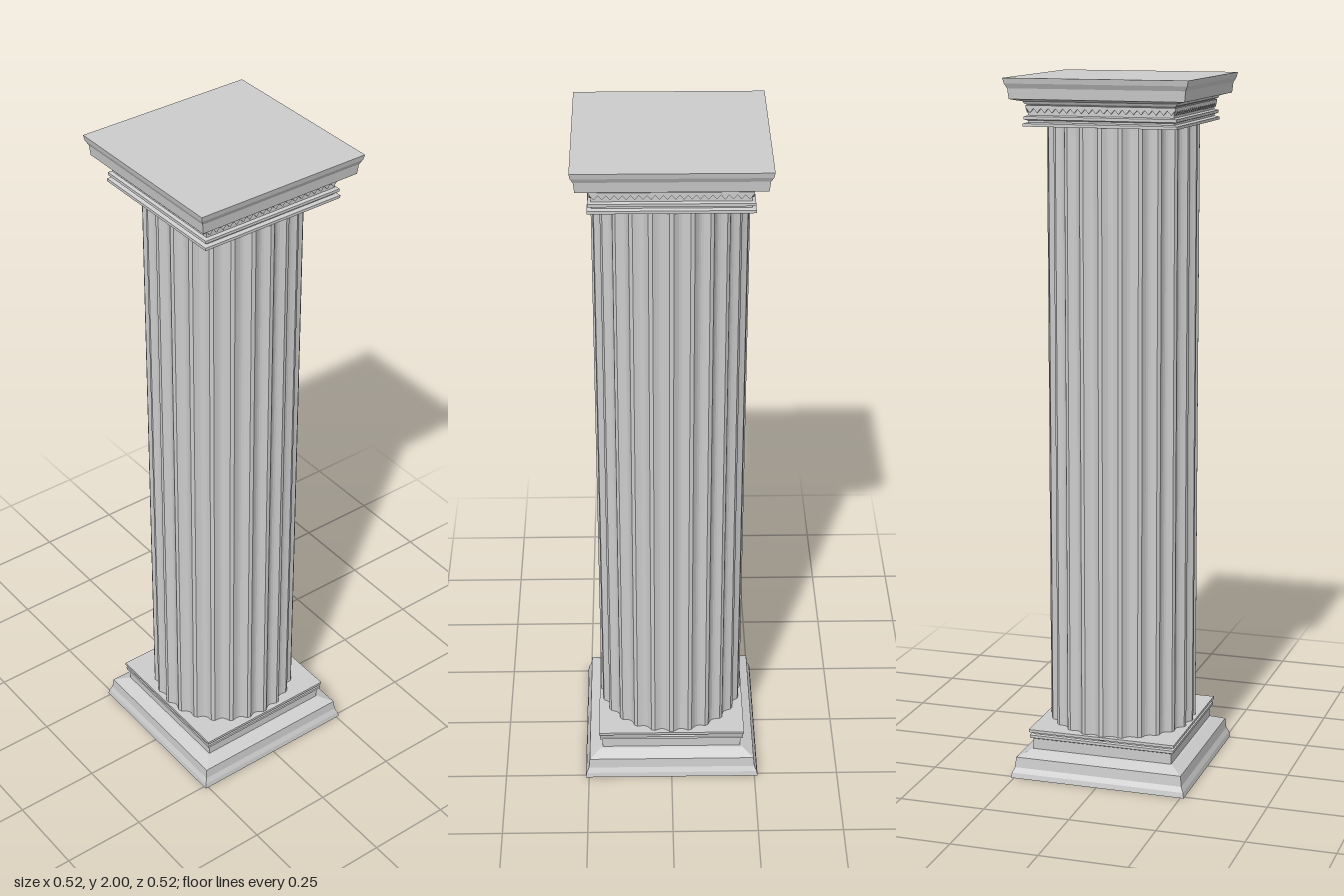
import * as THREE from 'three';

const material = new THREE.MeshStandardMaterial({ color: 0xcccccc, flatShading: true });

function addMesh(parent, name, geometry) {
  const mesh = new THREE.Mesh(geometry, material);
  mesh.name = name;
  parent.add(mesh);
  return mesh;
}

// Square moulding: a four-sided lathe of [half width, height] points, bottom to top
function squareMoulding(profile) {
  const points = profile.map(([w, y]) => new THREE.Vector2(w * Math.SQRT2, y));
  const geometry = new THREE.LatheGeometry(points, 4, Math.PI / 4).toNonIndexed();
  geometry.computeVertexNormals();
  return geometry;
}

// Ring of narrow fillets separated by rounded flutes
function flutedShape(radius, depth, count) {
  const points = [];
  const step = (Math.PI * 2) / count, fillet = 0.2, cuts = 6;
  for (let i = 0; i < count; i++) {
    for (let j = 0; j <= cuts; j++) {
      const t = j / cuts;
      const angle = step * (i + fillet / 2 + (1 - fillet) * t);
      const r = radius - depth * Math.sin(Math.PI * t);
      points.push(new THREE.Vector2(Math.cos(angle) * r, Math.sin(angle) * r));
    }
  }
  return new THREE.Shape(points);
}

// Strip with a toothed lower edge
function toothedStrip(halfWidth, height, teeth, depth) {
  const shape = new THREE.Shape();
  const step = (halfWidth * 2) / teeth;
  shape.moveTo(halfWidth, height);
  shape.lineTo(-halfWidth, height);
  for (let i = 0; i < teeth; i++) {
    const x = -halfWidth + i * step;
    shape.lineTo(x, height * 0.6);
    shape.lineTo(x + step / 2, 0);
  }
  shape.lineTo(halfWidth, height * 0.6);
  return new THREE.ExtrudeGeometry(shape, { depth, bevelEnabled: false });
}

export function createModel() {
  const column = new THREE.Group();
  column.name = 'column';

  // Stepped square base
  addMesh(column, 'base', squareMoulding([
    [0, 0], [0.26, 0], [0.257, 0.015], [0.25, 0.03], [0.247, 0.06], [0.215, 0.075],
    [0.208, 0.077], [0.208, 0.108], [0.216, 0.112], [0.216, 0.12],
    [0.207, 0.122], [0.207, 0.126], [0.218, 0.129], [0.218, 0.137], [0, 0.137],
  ]));

  // Fluted shaft
  const shaft = new THREE.ExtrudeGeometry(flutedShape(0.213, 0.012, 24), {
    depth: 1.75, bevelEnabled: false,
  });
  shaft.rotateX(-Math.PI / 2);
  addMesh(column, 'shaft', shaft).position.y = 0.125;

  // Stepped square capital
  const capital = new THREE.Group();
  capital.name = 'capital';
  column.add(capital);
  addMesh(capital, 'capitalMoulding', squareMoulding([
    [0, 1.868], [0.218, 1.868], [0.218, 1.876], [0.207, 1.879], [0.207, 1.884],
    [0.216, 1.887], [0.216, 1.895], [0.207, 1.898], [0.207, 1.926],
    [0.215, 1.93], [0.218, 1.936], [0.247, 1.943], [0.25, 1.972], [0.257, 1.985],
    [0.26, 2], [0, 2],
  ]));

  // Toothed frieze on all four sides
  const teeth = toothedStrip(0.21, 0.02, 20, 0.007);
  for (let i = 0; i < 4; i++) {
    const side = new THREE.Group();
    side.name = 'frieze' + (i + 1);
    side.rotation.y = (i * Math.PI) / 2;
    addMesh(side, 'friezeTeeth', teeth).position.set(0, 1.905, 0.205);
    capital.add(side);
  }

  return column;
}
